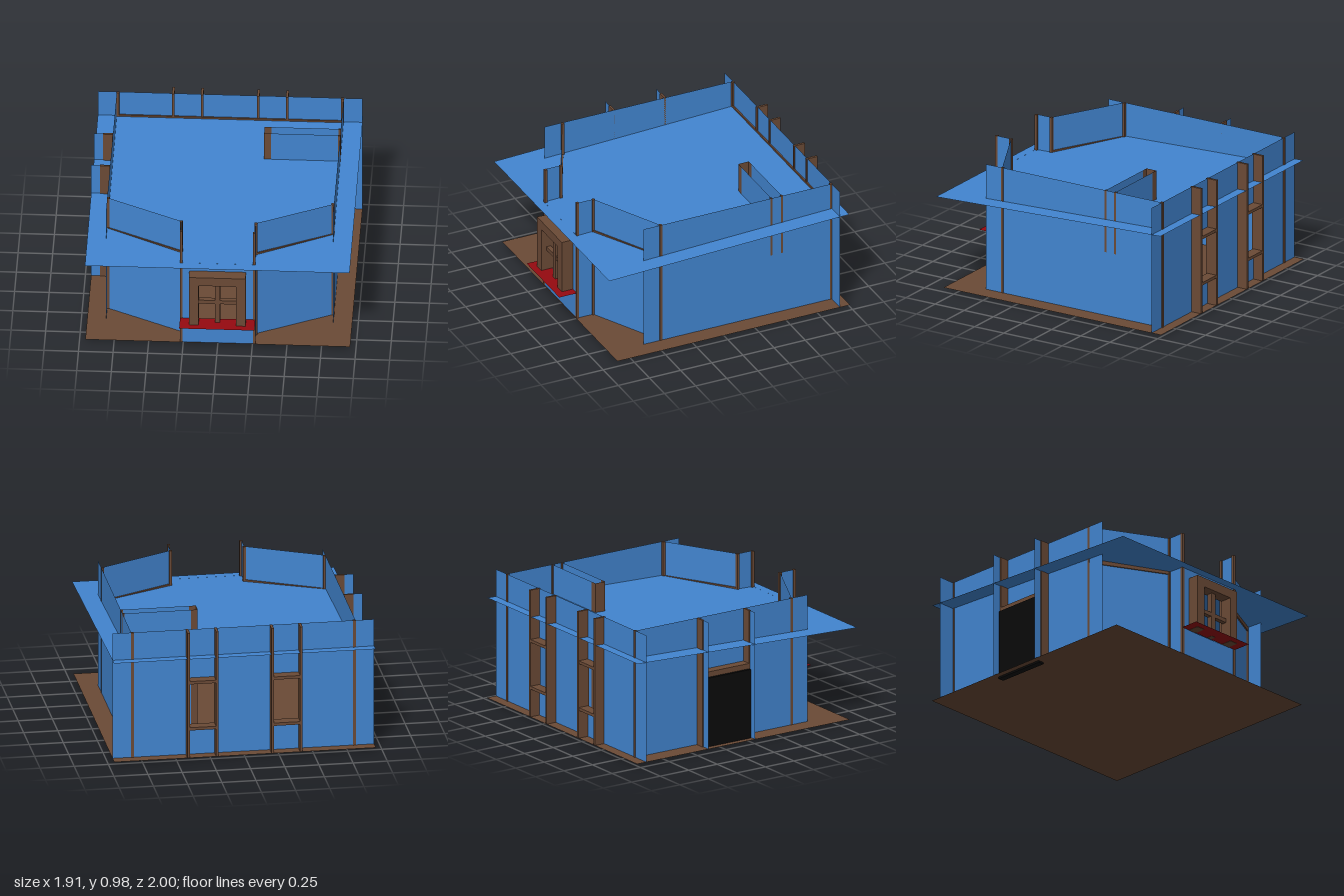
import * as THREE from 'three';

const mat = (name, color, double = false) => {
  const m = new THREE.MeshStandardMaterial({ color });
  m.name = name;
  if (double) m.side = THREE.DoubleSide;
  return m;
};

export function createModel() {
  const blue = mat('blue wall', 0x4285d0, true);
  const brown = mat('brown timber', 0x6b4a36, true);
  const red = mat('red sill', 0x960a10, true);
  const black = mat('black door', 0x0a0a0a);

  const model = new THREE.Group();
  model.name = 'house';
  const Y0 = 0.015, TOP = 0.975;

  const add = (name, geo, material) => {
    const mesh = new THREE.Mesh(geo, material);
    mesh.name = name;
    model.add(mesh);
    return mesh;
  };

  // Box given by its extents on each axis
  const box = (name, material, x0, x1, y0, y1, z0, z1) => {
    const mesh = add(name, new THREE.BoxGeometry(x1 - x0, y1 - y0, z1 - z0), material);
    mesh.position.set((x0 + x1) / 2, (y0 + y1) / 2, (z0 + z1) / 2);
    return mesh;
  };

  const rect = (path, u0, u1, v0, v1) =>
    path.moveTo(u0, v0).lineTo(u1, v0).lineTo(u1, v1).lineTo(u0, v1).closePath();

  // Thin upright panel between two plan points, holes as [u0, u1, y0, y1]
  const wall = (name, [xa, za], [xb, zb], y1 = TOP, holes = [], material = blue) => {
    const shape = new THREE.Shape();
    rect(shape, 0, Math.hypot(xb - xa, zb - za), Y0, y1);
    for (const h of holes) {
      const p = new THREE.Path();
      rect(p, ...h);
      shape.holes.push(p);
    }
    const mesh = add(name, new THREE.ShapeGeometry(shape), material);
    mesh.position.set(xa, 0, za);
    mesh.rotation.y = Math.atan2(za - zb, xb - xa);
    return mesh;
  };

  const post = (name, x, z, y0 = Y0, r = 0.01) =>
    box(name, brown, x - r, x + r, y0, TOP, z - r, z + r);

  // Horizontal sheet, sloping from front height to back height
  const sheet = (name, material, x, zf, zb, yf, yb) => {
    const g = new THREE.PlaneGeometry(2 * x, Math.hypot(zf - zb, yb - yf));
    g.rotateX(-Math.PI / 2 + Math.atan2(yb - yf, zf - zb));
    const mesh = add(name, g, material);
    mesh.position.set(0, (yf + yb) / 2, (zf + zb) / 2);
    return mesh;
  };

  // Floor and gently sloping roof
  sheet('floor', brown, 0.957, 0.865, -1, Y0, Y0);
  sheet('roof', blue, 0.957, 0.93, -0.995, 0.7, 0.772);

  // Back wall with two window openings
  wall('backWall', [-0.957, -0.92], [0.957, -0.92], TOP,
    [-1, 1].map(s => [0.957 + s * 0.305 - 0.1, 0.957 + s * 0.305 + 0.1, 0.235, 0.595]));
  box('backBeam', brown, -0.82, 0.82, 0.755, 0.782, -0.919, -0.908);

  for (const s of [-1, 1]) {
    // Side walls, angled front walls and bay returns
    wall('sideWall', [s * 0.82, 0.59], [s * 0.82, -0.92]);
    wall('angledWall', [s * 0.82, 0.45], [s * 0.27, 0.727]);
    wall('bayReturn', [s * 0.27, 0.727], [s * 0.27, 0.86]);
    post('sidePost', s * 0.812, 0.45);
    post('backPost', s * 0.812, -0.916);
    post('angledPost', s * 0.27, 0.727);
    post('bayPost', s * 0.264, 0.852);

    // Beam along the angled wall
    const beam = add('angledBeam',
      new THREE.BoxGeometry(Math.hypot(0.55, 0.277), 0.035, 0.018), brown);
    beam.position.set(s * 0.545, 0.703, 0.5885);
    beam.rotation.y = Math.atan2(0.277, s * 0.55);

    // Fins and shelves of the back windows
    for (const x of [0.203, 0.412])
      box('backWindowFin', brown, s * x - 0.009, s * x + 0.009, Y0, TOP, -1, -0.91);
    for (const y of [0.225, 0.58])
      box('backWindowShelf', brown, s * 0.3075 - 0.1, s * 0.3075 + 0.1, y, y + 0.022, -0.998, -0.918);
  }

  // Front wall of the bay with its window opening
  wall('frontWall', [-0.27, 0.86], [0.27, 0.86], 0.703, [[0.135, 0.405, 0.222, 0.565]]);
  for (const s of [-1, 1])
    box('windowJamb', brown, s * 0.17 - 0.035, s * 0.17 + 0.035, 0.222, 0.565, 0.855, 0.948);
  box('windowHeader', brown, -0.205, 0.205, 0.565, 0.635, 0.855, 0.948);
  box('windowMullion', brown, -0.019, 0.019, 0.222, 0.565, 0.865, 0.91);
  box('windowBar', brown, -0.135, 0.135, 0.382, 0.412, 0.87, 0.905);
  sheet('windowSill', red, 0.272, 1, 0.86, 0.224, 0.224);

  // Hollow chimney stack against the right wall
  for (const z of [-0.437, -0.52]) {
    wall('chimneySide', [0.82, z], [0.32, z]);
    wall('chimneyCorner', [0.32, z], [0.27, z], TOP, [], brown);
    post('chimneyPost', 0.813, z, 0.5, 0.008);
  }
  wall('chimneyEnd', [0.27, -0.437], [0.27, -0.52], TOP, [], brown);

  // Doorway: posts, side panels, door, lintel and threshold
  for (const z of [-0.375, 0.035]) {
    box('doorPost', brown, -0.892, -0.82, Y0, TOP, z - 0.008, z + 0.008);
    wall('doorSidePanel', [-0.957, z], [-0.892, z]);
  }
  box('door', black, -0.913, -0.865, 0, 0.535, -0.367, 0.04 - 0.013);
  box('doorThreshold', black, -0.913, -0.865, 0, 0.013, -0.37, 0.038);
  box('doorLintel', brown, -0.892, -0.82, 0.535, 0.575, -0.367, 0.027);

  return model;
}
